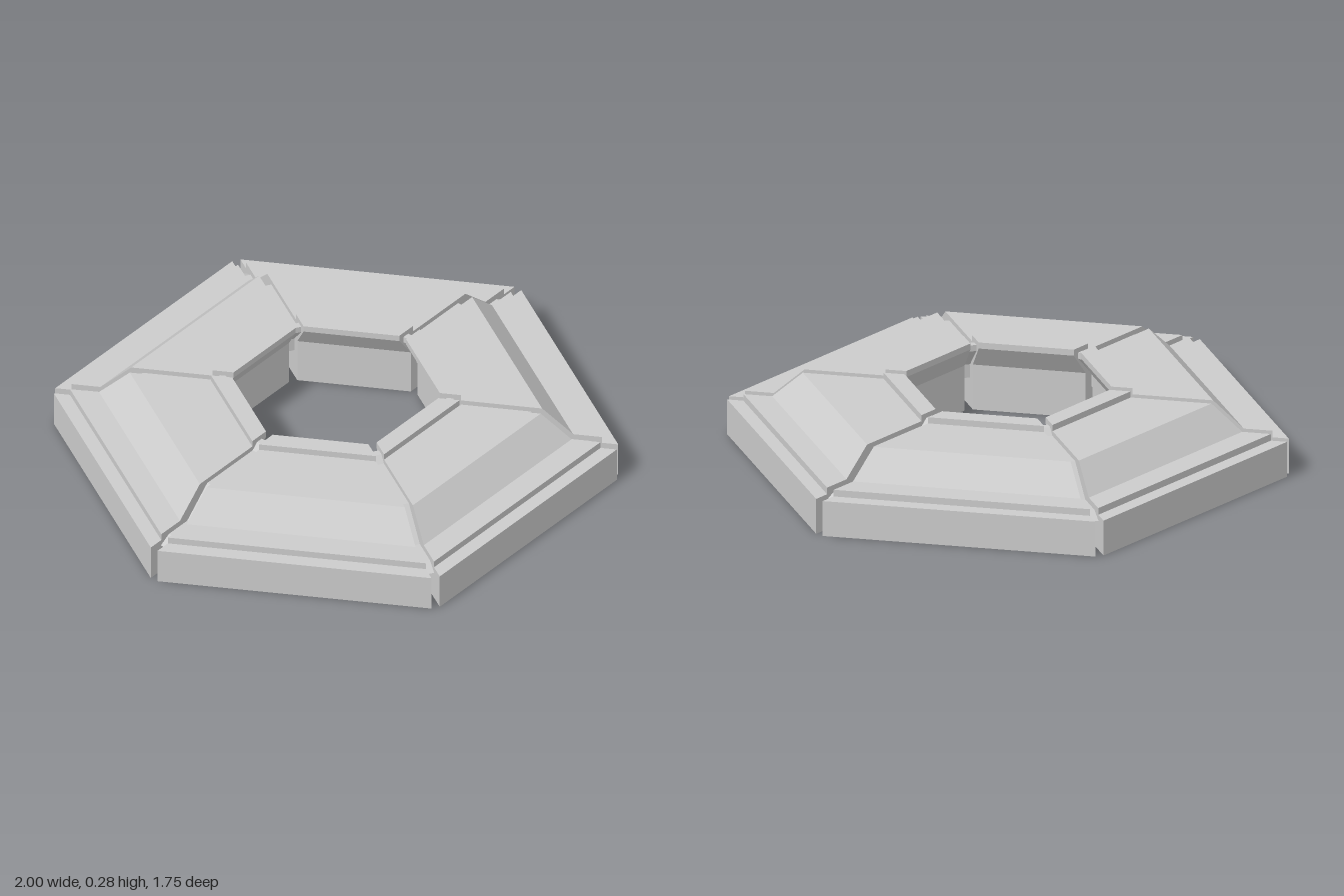
import * as THREE from 'three';

const SIDES = 6;
const GAP = 0.0153; // half width of the seam between two segments

// Cross-sections as [distance from centre, height]
const segmentProfile = [
  [0.38, 0], [0.874, 0], [0.874, 0.132], [0.824, 0.132], [0.824, 0.157],
  [0.735, 0.157], [0.64, 0.255], [0.39, 0.255], [0.39, 0.278],
  [0.325, 0.278], [0.325, 0.255], [0.38, 0.17],
];
const seamProfile = [
  [0.46, 0.11], [0.945, 0.11], [0.9, 0.135], [0.8, 0.135], [0.69, 0.237],
  [0.44, 0.237], [0.415, 0.26], [0.39, 0.26], [0.39, 0.237], [0.46, 0.16],
];

function extrudeProfile(points, depth) {
  const shape = new THREE.Shape(points.map(([r, y]) => new THREE.Vector2(r, y)));
  return new THREE.ExtrudeGeometry(shape, { depth, bevelEnabled: false });
}

// Straight prism whose ends are mitred to meet its neighbours
function segmentGeometry() {
  const geometry = extrudeProfile(segmentProfile, 1);
  const p = geometry.attributes.position;
  const slope = Math.tan(Math.PI / SIDES);
  const inset = GAP / Math.cos(Math.PI / SIDES);
  for (let i = 0; i < p.count; i++) {
    const r = p.getX(i);
    const half = r * slope - inset;
    p.setXYZ(i, (1 - 2 * p.getZ(i)) * half, p.getY(i), r);
  }
  geometry.computeVertexNormals();
  return geometry;
}

export function createModel() {
  const model = new THREE.Group();
  model.name = 'hexagonalRing';
  const material = new THREE.MeshStandardMaterial({ color: 0xcccccc, flatShading: true });

  const segment = segmentGeometry();
  const seam = extrudeProfile(seamProfile, GAP * 2).translate(0, 0, -GAP);

  for (let i = 0; i < SIDES; i++) {
    const angle = (i * Math.PI * 2) / SIDES;

    // Stepped wall segment with a raised inner lip
    const wall = new THREE.Mesh(segment, material);
    wall.name = `ringSegment${i + 1}`;
    wall.rotation.y = angle;

    // Recessed strip filling the upper part of the corner gap
    const strip = new THREE.Mesh(seam, material);
    strip.name = `seamStrip${i + 1}`;
    strip.rotation.y = angle;

    model.add(wall, strip);
  }
  return model;
}
